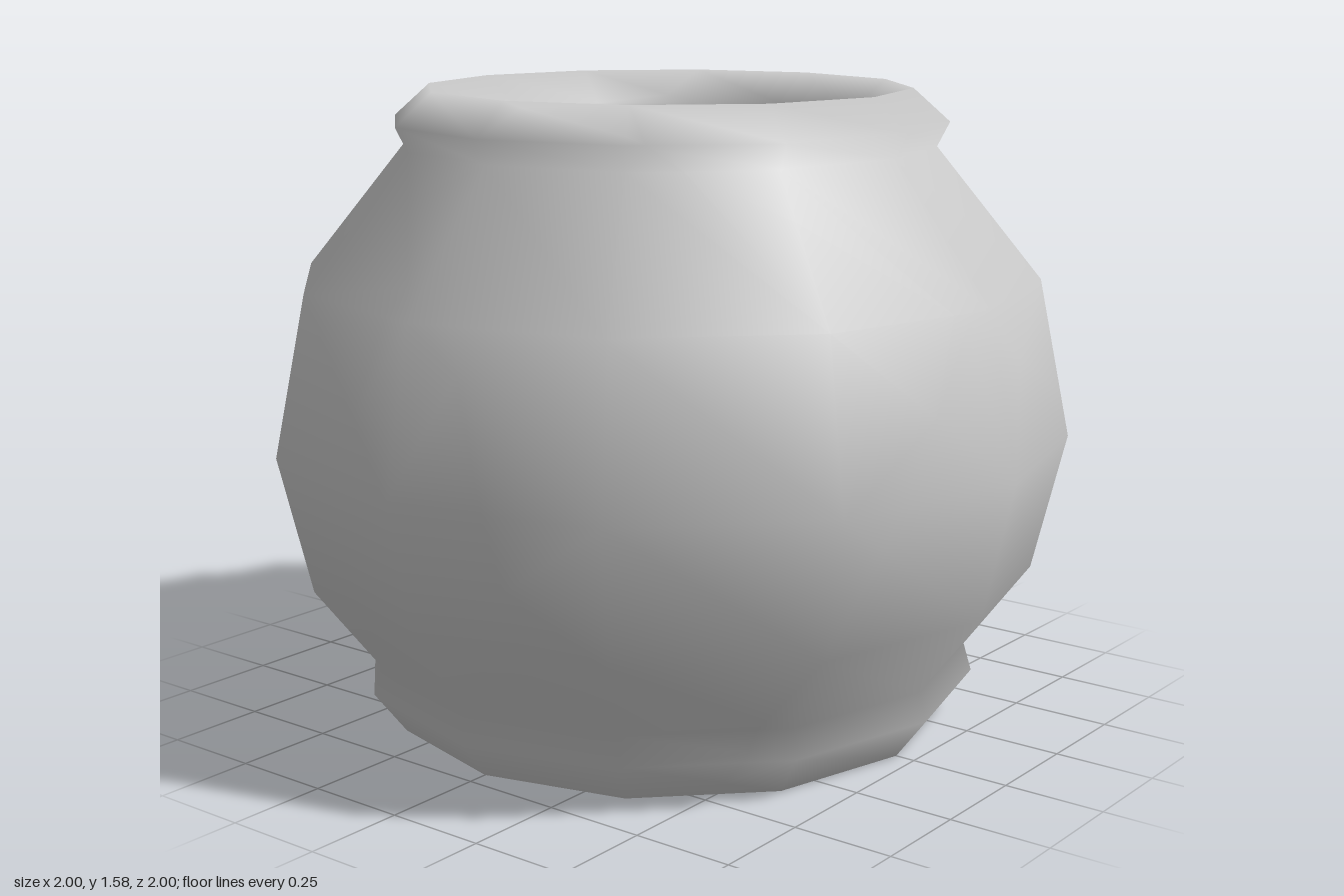
import * as THREE from 'three';

const SIDES = 12;

// Profiles are [radius, height]; each one is smooth, with hard edges between them.
const PROFILES = [
  // underside
  [[0, 0.005], [0.7, 0.005]],
  // foot, belly, rim and inner wall
  [[0.7, 0.005], [0.78, 0.11], [0.76, 0.18], [0.92, 0.39], [1, 0.73], [0.92, 1.12], [0.66, 1.44],
    [0.69, 1.5], [0.6, 1.58], [0.5, 1.5], [0.54, 1.42], [0.82, 1.09], [0.9, 0.73], [0.82, 0.42], [0.64, 0.1]],
  // inside floor
  [[0.64, 0.1], [0, 0.1]],
];

// The pot is broken into fitted shards. A point belongs to the shard whose
// linear field a*x + b*y + c*z + d is the largest there.
const SHARDS = {
  frontShard: [0, 0, 0, 0],
  frontFootShard: [0, -0.58, 0, 0.174],
  frontLeftShard: [1, 0.26, -0.58, 0.13],
  frontRightShard: [-1, 0.26, -0.58, 0.13],
  backLeftShard: [1.425, -0.08, -1.08, 0.155],
  backRightShard: [-1, -0.08, -1.86, 0.42],
  upperLeftShard: [1.43, 3.22, -2.58, -3.35],
  upperRightShard: [-1.5, 1.1, -1.38, -0.57],
};

// Triangles of the whole pot; a corner is [x, y, z, nx, ny, nz]
function potTriangles() {
  const triangles = [];
  for (const profile of PROFILES) {
    const points = profile.map(([r, y]) => new THREE.Vector2(r, y));
    const { attributes: { position, normal }, index } = new THREE.LatheGeometry(points, SIDES);
    for (let i = 0; i < index.count; i += 3) {
      triangles.push([0, 1, 2].map((k) => {
        const v = index.getX(i + k);
        return [position.getX(v), position.getY(v), position.getZ(v),
          normal.getX(v), normal.getY(v), normal.getZ(v)];
      }));
    }
  }
  return triangles;
}

// Keep the part of a polygon where the plane is positive
function clip(polygon, [a, b, c, d]) {
  const side = (p) => a * p[0] + b * p[1] + c * p[2] + d;
  const kept = [];
  polygon.forEach((p, i) => {
    const q = polygon[(i + 1) % polygon.length];
    const sp = side(p), sq = side(q);
    if (sp >= 0) kept.push(p);
    if ((sp >= 0) !== (sq >= 0)) {
      const t = sp / (sp - sq);
      kept.push(p.map((value, k) => value + (q[k] - value) * t));
    }
  });
  return kept;
}

function shardGeometry(triangles, field) {
  const planes = Object.values(SHARDS)
    .filter((other) => other !== field)
    .map((other) => field.map((value, k) => value - other[k]));
  const positions = [], normals = [];
  for (const triangle of triangles) {
    const polygon = planes.reduce(clip, triangle);
    for (let i = 1; i + 1 < polygon.length; i++) {
      const corners = [polygon[0], polygon[i], polygon[i + 1]];
      const [p, q, r] = corners.map((v) => new THREE.Vector3(...v.slice(0, 3)));
      if (q.sub(p).cross(r.sub(p)).length() < 1e-9) continue;
      for (const v of corners) {
        positions.push(...v.slice(0, 3));
        normals.push(...new THREE.Vector3(...v.slice(3)).normalize().toArray());
      }
    }
  }
  const geometry = new THREE.BufferGeometry();
  geometry.setAttribute('position', new THREE.Float32BufferAttribute(positions, 3));
  geometry.setAttribute('normal', new THREE.Float32BufferAttribute(normals, 3));
  return geometry;
}

export function createModel() {
  const pot = new THREE.Group();
  pot.name = 'brokenPot';
  const clay = new THREE.MeshStandardMaterial({ color: 0xcccccc, side: THREE.DoubleSide });
  const triangles = potTriangles();
  for (const [name, field] of Object.entries(SHARDS)) {
    const shard = new THREE.Mesh(shardGeometry(triangles, field), clay);
    shard.name = name;
    pot.add(shard);
  }
  return pot;
}
